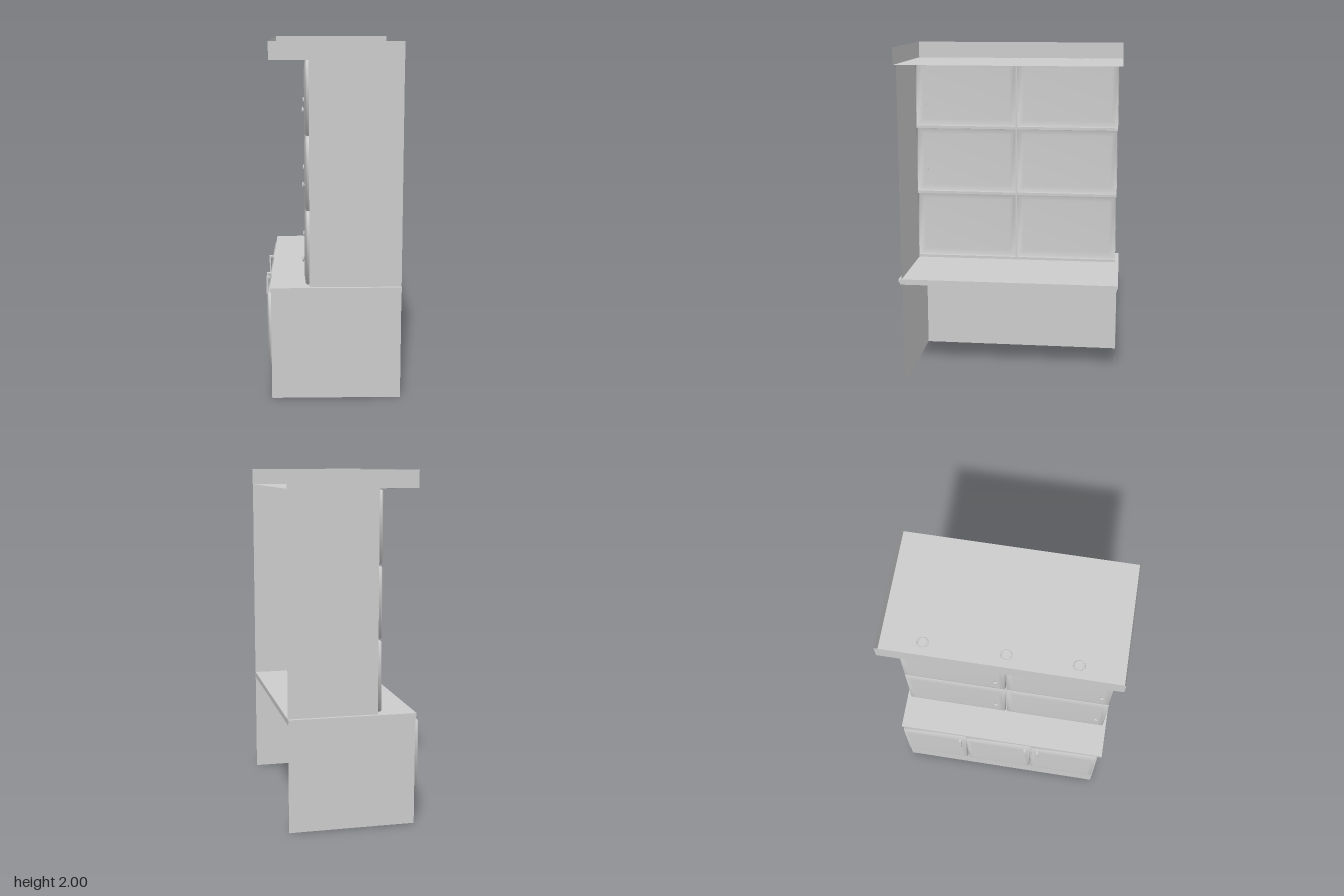
import * as THREE from 'three';

const mat = new THREE.MeshStandardMaterial({ color: 0xcccccc, side: THREE.DoubleSide });

function add(group, name, geometry, x = 0, y = 0, z = 0) {
  const mesh = new THREE.Mesh(geometry, mat);
  mesh.name = name;
  mesh.position.set(x, y, z);
  group.add(mesh);
  return mesh;
}

// Box given by its limits on each axis
function slab(group, name, [x0, x1], [y0, y1], [z0, z1]) {
  return add(group, name, new THREE.BoxGeometry(x1 - x0, y1 - y0, z1 - z0),
    (x0 + x1) / 2, (y0 + y1) / 2, (z0 + z1) / 2);
}

// Thin upright sheet across x (side panel), facing +z or -z
function sideSheet(group, name, [x0, x1], [y0, y1], z) {
  const g = new THREE.PlaneGeometry(x1 - x0, y1 - y0);
  if (z < 0) g.rotateY(Math.PI);
  return add(group, name, g, (x0 + x1) / 2, (y0 + y1) / 2, z);
}

// Thin upright sheet across z, facing -x
function frontSheet(group, name, x, [y0, y1], [z0, z1]) {
  const g = new THREE.PlaneGeometry(z1 - z0, y1 - y0).rotateY(-Math.PI / 2);
  return add(group, name, g, x, (y0 + y1) / 2, (z0 + z1) / 2);
}

// Softly cushioned shell facing -x; rings are [inset, x] from the rim inwards
function cushion([y0, y1], [z0, z1], rings) {
  const pos = [], index = [];
  for (const [d, x] of rings) {
    pos.push(x, y0 + d, z0 + d, x, y0 + d, z1 - d, x, y1 - d, z1 - d, x, y1 - d, z0 + d);
  }
  for (let r = 0; r < rings.length - 1; r++) {
    for (let i = 0; i < 4; i++) {
      const a = r * 4 + i, b = r * 4 + (i + 1) % 4;
      index.push(a, b, b + 4, a, b + 4, a + 4);
    }
  }
  const c = (rings.length - 1) * 4;
  index.push(c, c + 1, c + 2, c, c + 2, c + 3);
  const g = new THREE.BufferGeometry();
  g.setAttribute('position', new THREE.Float32BufferAttribute(pos, 3));
  g.setIndex(index);
  g.computeVertexNormals();
  return g;
}

function buildBase() {
  const base = new THREE.Group();
  base.name = 'baseCabinet';
  // Open-backed carcass
  for (const z of [0.62, -0.635]) sideSheet(base, 'baseSide', [-0.345, 0.382], [0, 0.62], z);
  frontSheet(base, 'baseFront', -0.345, [0, 0.62], [-0.635, 0.62]);

  // Counter with a narrower moulding below
  slab(base, 'counterTop', [-0.35, 0.382], [0.632, 0.652], [-0.643, 0.643]);
  slab(base, 'counterMoulding', [-0.347, 0.382], [0.62, 0.632], [-0.637, 0.634]);

  // Three doors
  const doorRings = [[0, -0.345], [0.002, -0.358], [0.006, -0.365], [0.03, -0.368]];
  for (const span of [[-0.635, -0.229], [-0.223, 0.19], [0.196, 0.61]]) {
    add(base, 'baseDoor', cushion([0.2, 0.612], span, doorRings));
  }

  // Pull handles: a bar on two posts
  for (const z of [-0.262, 0.155, 0.235]) {
    const handle = new THREE.Group();
    handle.name = 'pullHandle';
    slab(handle, 'handleBar', [-0.388, -0.379], [0.5, 0.61], [z - 0.007, z + 0.007]);
    for (const y of [0.5, 0.598]) {
      slab(handle, 'handlePost', [-0.38, -0.364], [y, y + 0.012], [z - 0.007, z + 0.007]);
    }
    base.add(handle);
  }
  return base;
}

function buildHutch() {
  const hutch = new THREE.Group();
  hutch.name = 'upperCabinet';
  for (const z of [0.624, -0.622]) sideSheet(hutch, 'upperSide', [-0.13, 0.382], [0.652, 1.902], z);

  // Strips closing the gaps behind the doors
  const rows = [0.66, 1.076, 1.488, 1.902];
  for (const y of rows.slice(0, 3)) {
    frontSheet(hutch, 'railStrip', -0.13, [y - 0.008, y + 0.008], [-0.622, 0.624]);
  }
  frontSheet(hutch, 'middleStrip', -0.13, [0.652, 1.902], [-0.006, 0.006]);

  // Two columns of three doors, each with a round knob
  const doorRings = [[0, -0.13], [0.001, -0.142], [0.006, -0.151], [0.04, -0.157]];
  for (let r = 0; r < 3; r++) {
    for (const [z0, z1] of [[-0.622, -0.003], [0.003, 0.624]]) {
      add(hutch, 'upperDoor', cushion([rows[r] + 0.006, rows[r + 1] - 0.006], [z0, z1], doorRings));
      const y = rows[r] + 0.142, z = z1 - 0.056;
      const stem = new THREE.CylinderGeometry(0.008, 0.008, 0.016, 10).rotateZ(Math.PI / 2);
      add(hutch, 'knobStem', stem, -0.156, y, z);
      const knob = new THREE.SphereGeometry(0.018, 16, 10).scale(0.35, 1, 1);
      add(hutch, 'knob', knob, -0.164, y, z);
    }
  }
  return hutch;
}

function buildCanopy() {
  const canopy = new THREE.Group();
  canopy.name = 'canopy';
  const deck = new THREE.PlaneGeometry(0.727, 1.286).rotateX(-Math.PI / 2);
  // The deck spans the full cabinet depth
  add(canopy, 'canopyDeck', deck, 0.0185, 1.902, 0);

  // Upstand on three sides, open at the wall
  for (const z of [0.643, -0.643]) sideSheet(canopy, 'canopyEnd', [-0.345, 0.382], [1.902, 2], z);
  frontSheet(canopy, 'canopyFascia', -0.345, [1.902, 2], [-0.643, 0.643]);

  // Recessed downlight trims
  for (const z of [0.4, 0.02, -0.42]) {
    const trim = new THREE.TorusGeometry(0.028, 0.005, 8, 24).rotateX(Math.PI / 2);
    add(canopy, 'downlightTrim', trim, -0.24, 1.901, z);
    const lens = new THREE.CircleGeometry(0.028, 24).rotateX(Math.PI / 2);
    add(canopy, 'downlightLens', lens, -0.24, 1.899, z);
  }
  return canopy;
}

export function createModel() {
  const model = new THREE.Group();
  model.name = 'cabinet';
  model.add(buildBase(), buildHutch(), buildCanopy());
  return model;
}
